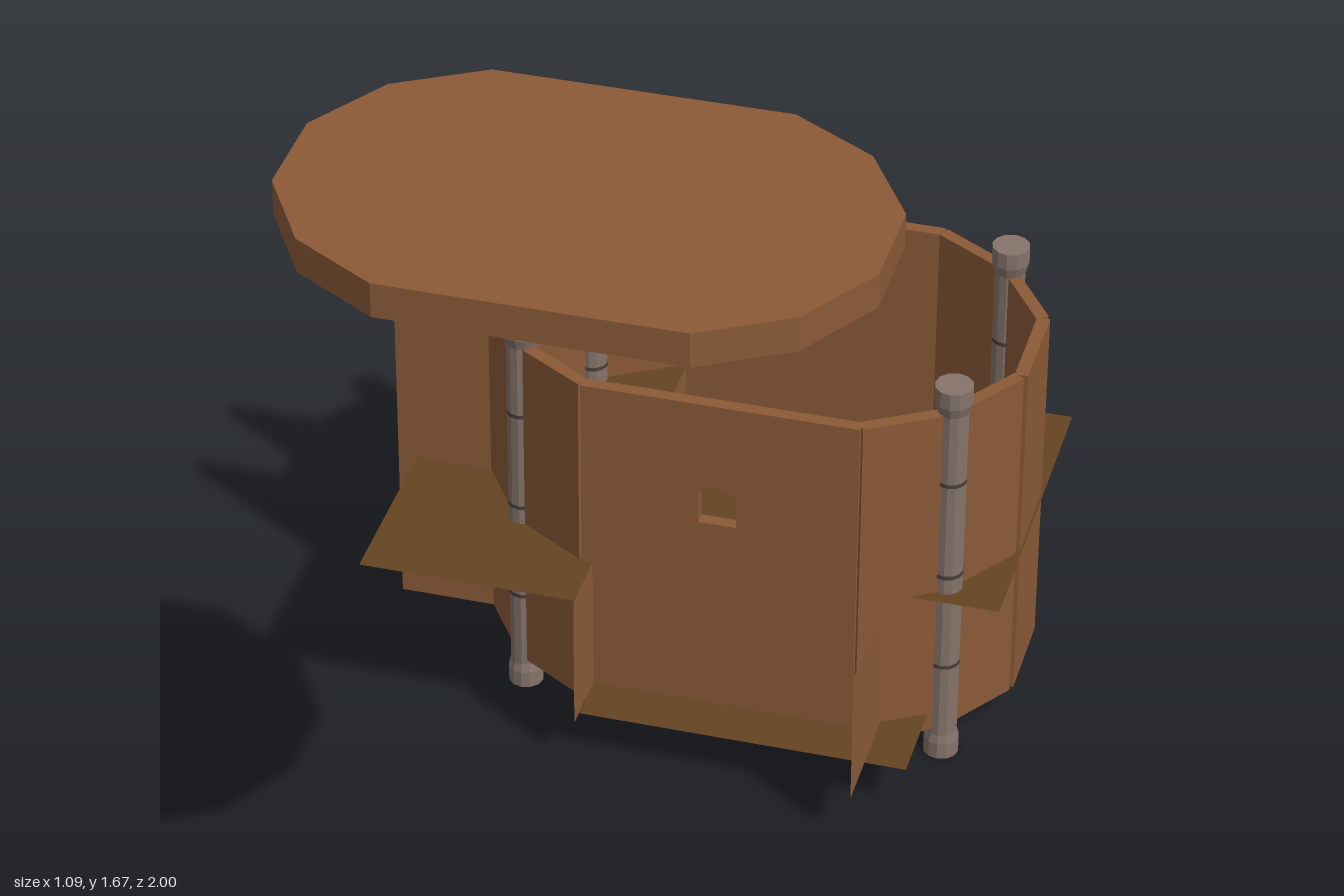
import * as THREE from 'three';

const CX = 0.066, CZ = -0.49;          // middle of the cabin in plan
const Y0 = 0.055, Y1 = 0.695, T = 0.022; // wall bottom, top, thickness

const mat = (name, color, extra = {}) =>
  Object.assign(new THREE.MeshStandardMaterial({ color, ...extra }), { name });

export function createModel() {
  const root = new THREE.Group();
  root.name = 'openCabin';
  const wood = mat('wallWood', 0x8b5a38, { flatShading: true });
  const plank = mat('floorWood', 0x654321, { side: THREE.DoubleSide });
  const riserWood = mat('riserWood', 0x8b5a38, { side: THREE.DoubleSide });
  const post = mat('postWood', 0x85746a);
  const groove = mat('postGroove', 0x4a403a);
  const tileWhite = mat('tileWhite', 0xdadbd6);
  const dark = mat('darkStone', 0x3a3a3c, { flatShading: true });

  const add = (name, geo, m, x = 0, y = 0, z = 0, parent = root) => {
    const mesh = new THREE.Mesh(geo, m);
    mesh.name = name;
    mesh.position.set(x, y, z);
    parent.add(mesh);
    return mesh;
  };

  // Upright wall panel between two plan points
  const panel = (name, ax, az, bx, bz) => {
    const len = Math.hypot(bx - ax, bz - az);
    const p = add(name, new THREE.BoxGeometry(len, Y1 - Y0, T), wood,
      (ax + bx) / 2, (Y0 + Y1) / 2, (az + bz) / 2);
    p.rotation.y = -Math.atan2(bz - az, bx - ax);
  };

  // Long walls, each with a small peaked window
  const face = new THREE.Shape();
  face.moveTo(-0.233, Y0).lineTo(0.233, Y0).lineTo(0.233, Y1).lineTo(-0.233, Y1).closePath();
  const hole = new THREE.Path();
  hole.moveTo(-0.034, 0.46).lineTo(-0.034, 0.521).lineTo(-0.002, 0.536)
    .lineTo(0.03, 0.521).lineTo(0.03, 0.46).closePath();
  face.holes.push(hole);
  const longWall = new THREE.ExtrudeGeometry(face, { depth: T, bevelEnabled: false });
  add('frontWall', longWall, wood, CX, 0, CZ + 0.305 - T);
  add('backWall', longWall, wood, CX, 0, CZ - 0.305);

  // Angled corner panels and flat ends
  for (const sx of [-1, 1]) {
    for (const sz of [-1, 1]) {
      panel('cornerPanel', CX + sx * 0.232, CZ + sz * 0.293, CX + sx * 0.36, CZ + sz * 0.216);
      panel('cornerPanel', CX + sx * 0.36, CZ + sz * 0.216, CX + sx * 0.446, CZ + sz * 0.088);
    }
    panel('endWall', CX + sx * 0.449, CZ - 0.085, CX + sx * 0.449, CZ + 0.085);
    // Small fitting on the inside of each end
    add('endFitting', new THREE.BoxGeometry(0.018, 0.06, 0.12), post, CX + sx * 0.428, 0.5, CZ);
  }

  // Two fins flanking the entrance end
  for (const z of [-0.402, -0.582])
    add('entranceFin', new THREE.BoxGeometry(0.17, Y1 - Y0, T), wood, -0.465, (Y0 + Y1) / 2, z);

  // Corner posts with flared ends and dark grooves
  const profile = [[0, 0], [0.03, 0], [0.03, 0.03], [0.026, 0.045], [0.026, 0.695],
    [0.032, 0.715], [0.032, 0.745], [0, 0.745]].map(p => new THREE.Vector2(...p));
  const facets = new THREE.LatheGeometry(profile, 12).toNonIndexed();
  facets.computeVertexNormals();
  const ring = new THREE.CylinderGeometry(0.0268, 0.0268, 0.007, 12, 1);
  for (const x of [-0.295, 0.431]) for (const z of [-0.28, -0.7]) {
    const g = new THREE.Group();
    g.name = 'cornerPost';
    g.position.set(x, 0, z);
    root.add(g);
    add('postShaft', facets, post, 0, 0, 0, g);
    for (const y of [0.19, 0.375, 0.56]) add('postRing', ring, groove, 0, y, 0, g);
  }

  // Thin floor sheets: low middle, raised platform at each end
  const sheet = (name, x0, x1, z0, z1, y) => {
    const geo = new THREE.PlaneGeometry(x1 - x0, z1 - z0).rotateX(-Math.PI / 2);
    add(name, geo, plank, (x0 + x1) / 2, y, (z0 + z1) / 2);
  };
  sheet('middleFloor', -0.148, 0.412, -0.84, -0.098, 0.09);
  sheet('rightPlatform', -0.518, -0.148, -0.84, -0.075, 0.342);
  sheet('leftPlatform', 0.342, 0.53, -0.805, -0.232, 0.342);

  // Upright sheets that step up to the platforms
  const riser = (name, x, z0, z1) => {
    const geo = new THREE.PlaneGeometry(z1 - z0, 0.25).rotateY(Math.PI / 2);
    add(name, geo, riserWood, x, 0.216, (z0 + z1) / 2);
  };
  riser('rightRiser', -0.148, -0.84, -0.07);
  riser('leftRiser', 0.342, -1, 0);

  // Four by four floor tiles
  const tile = new THREE.BoxGeometry(0.068, 0.009, 0.065);
  for (let i = 0; i < 4; i++) for (let j = 0; j < 4; j++)
    add('floorTile', tile, tileWhite, -0.016 + i * 0.0825, 0.096, -0.608 + j * 0.079);

  // Loose pebbles
  for (const [x, z, r, y] of [[-0.092, -0.56, 0.01, 0.09], [-0.09, -0.4, 0.016, 0.09],
    [0.005, -0.325, 0.015, 0.09], [-0.06, -0.272, 0.009, 0.09], [0.377, -0.485, 0.009, 0.342]])
    add('pebble', new THREE.IcosahedronGeometry(r, 0), dark, x, y, z);

  // Lid floating in front and above
  const lid = new THREE.Shape();
  const q = [[0.433, 0.077], [0.355, 0.207], [0.224, 0.284]];
  const rim = [...q, ...[...q].reverse().map(([x, y]) => [-x, y]),
    ...q.map(([x, y]) => [-x, -y]), ...[...q].reverse().map(([x, y]) => [x, -y])];
  lid.setFromPoints(rim.map(p => new THREE.Vector2(...p)));
  const lidGeo = new THREE.ExtrudeGeometry(lid, { depth: 0.055, bevelEnabled: false })
    .rotateX(-Math.PI / 2);
  add('lid', lidGeo, wood, 0.111, 1.617, 0.716);

  return root;
}
